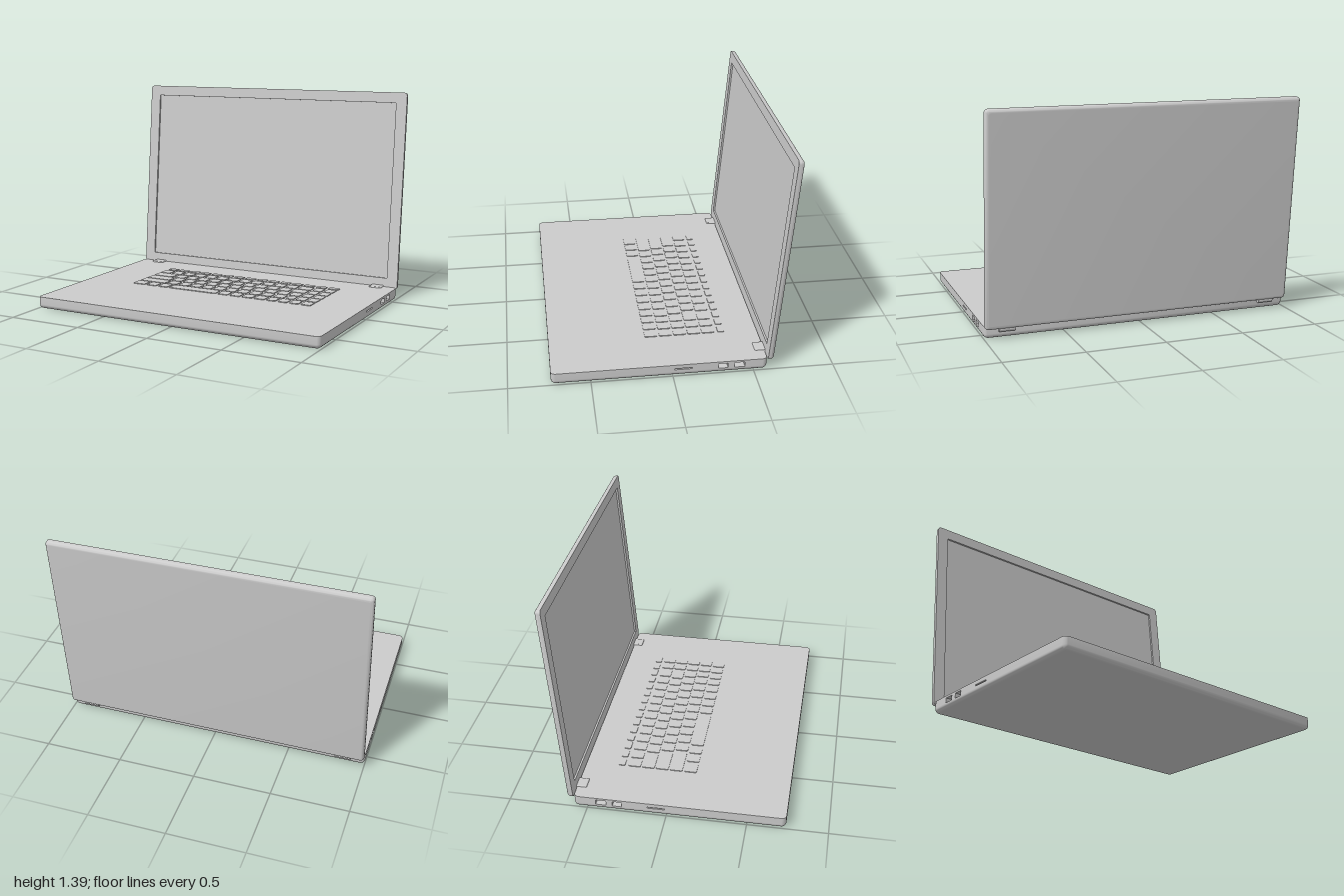
import * as THREE from 'three';
import { mergeGeometries, toCreasedNormals } from 'three/addons/utils/BufferGeometryUtils.js';
import { RoundedBoxGeometry } from 'three/addons/geometries/RoundedBoxGeometry.js';

const material = new THREE.MeshStandardMaterial({ color: 0xcccccc });
const CORNER_STEPS = 5;
const RIM_STEPS = 6;

function addMesh(parent, name, geometry) {
  const mesh = new THREE.Mesh(geometry, material);
  mesh.name = name;
  parent.add(mesh);
  return mesh;
}

// Counter-clockwise outline of a rounded rectangle, starting on the +x side
function roundedRect(w, h, r) {
  const points = [];
  [[1, 1], [-1, 1], [-1, -1], [1, -1]].forEach(([sx, sy], corner) => {
    for (let i = 0; i <= CORNER_STEPS; i++) {
      const a = (corner + i / CORNER_STEPS) * Math.PI / 2;
      points.push(new THREE.Vector2(sx * (w / 2 - r) + r * Math.cos(a), sy * (h / 2 - r) + r * Math.sin(a)));
    }
  });
  return points;
}

// Flat panel around z = 0 with rectangular openings { x, y, w, h }
function panel(outline, openings = []) {
  const shape = new THREE.Shape(outline);
  for (const o of openings) {
    const hole = roundedRect(o.w, o.h, o.r).map(p => p.add(new THREE.Vector2(o.x, o.y)));
    shape.holes.push(new THREE.Path(hole));
  }
  return new THREE.ShapeGeometry(shape);
}

// Inward-facing box without its front, lining an opening
function pocket({ x, y, w, h }, depth) {
  const geo = new THREE.BoxGeometry(w, h, depth);
  const index = Array.from(geo.index.array);
  index.splice(24, 6);
  geo.setIndex(index.reverse());
  return geo.translate(x, y, -depth / 2);
}

function join(parts) {
  for (const g of parts) {
    g.deleteAttribute('uv');
    g.deleteAttribute('normal');
  }
  return toCreasedNormals(mergeGeometries(parts), 0.6);
}

// Shell with a sharp front face at z = 0 and a rounded rim at z = -depth
function shell({ w, h, depth, rim, corner, openings = [], openingDepth = 0, ports }) {
  const levels = [[0, 0]];
  for (let i = 0; i <= RIM_STEPS; i++) {
    const a = i / RIM_STEPS * Math.PI / 2;
    levels.push([rim * (1 - Math.cos(a)), -(depth - rim) - rim * Math.sin(a)]);
  }
  const rings = levels.map(([inset]) =>
    roundedRect(w - 2 * inset, h - 2 * inset, Math.max(0.01, corner - inset)));
  const n = rings[0].length;
  const positions = [], index = [];
  rings.forEach((ring, i) => ring.forEach(p => positions.push(p.x, p.y, levels[i][1])));
  for (let i = 0; i < rings.length - 1; i++) {
    for (let j = 0; j < n; j++) {
      // the straight sides are left open where port panels go
      if (ports && i === 0 && (j === n - 1 || j === n / 2 - 1)) continue;
      const a = i * n + j, b = i * n + (j + 1) % n;
      index.push(a, a + n, b, b, a + n, b + n);
    }
  }
  const wall = new THREE.BufferGeometry();
  wall.setAttribute('position', new THREE.Float32BufferAttribute(positions, 3));
  wall.setIndex(index);

  const back = panel(rings[rings.length - 1]).rotateY(Math.PI).translate(0, 0, -depth);
  const parts = [wall, back, panel(rings[0], openings)];
  for (const o of openings) parts.push(pocket(o, openingDepth));

  // side panels pierced by ports
  if (ports) {
    const half = h / 2 - corner, low = rim - depth;
    const outline = [[-half, low], [half, low], [half, 0], [-half, 0]].map(p => new THREE.Vector2(...p));
    for (const side of [1, -1]) {
      const holes = ports.map(p => ({ ...p, x: p.x * side }));
      const place = new THREE.Matrix4().makeBasis(
        new THREE.Vector3(0, side, 0), new THREE.Vector3(0, 0, 1), new THREE.Vector3(side, 0, 0));
      place.setPosition(side * w / 2, 0, 0);
      for (const g of [panel(outline, holes), ...holes.map(p => pocket(p, 0.05))]) parts.push(g.applyMatrix4(place));
    }
  }
  return join(parts);
}

const BASE_TOP = 0.078;
const BASE_Z = 0.078;

function makeBase() {
  // ports given by their z range and height range
  const ports = [[-0.12, -0.01, 0.045, 0.053], [-0.34, -0.28, 0.033, 0.065], [-0.445, -0.38, 0.033, 0.065]]
    .map(([z0, z1, y0, y1]) => ({
      x: BASE_Z - (z0 + z1) / 2, y: (y0 + y1) / 2 - BASE_TOP, w: z1 - z0, h: y1 - y0, r: 0.002,
    }));
  return shell({ w: 2, h: 1.326, depth: BASE_TOP, rim: 0.03, corner: 0.03, ports })
    .rotateX(-Math.PI / 2).translate(0, BASE_TOP, BASE_Z);
}

// Rows of keys: back edge, depth and key widths in key units
const ones = n => Array(n).fill(1);
const KEY_ROWS = [
  [-0.377, 0.042, ones(15)],
  [-0.313, 0.08, [...ones(12), 1.2, 0.9, 0.9]],
  [-0.222, 0.08, [1.85, ...ones(10), 1.35, 0.9, 0.9]],
  [-0.131, 0.08, [2.2, ...ones(11), 0.9, 0.9]],
  [-0.04, 0.08, [2.4, ...ones(10), 0.8, 0.9, 0.9]],
  [0.053, 0.08, [1.2, 1, 1, 4.15, ...ones(4), 0.9, 0.9, 0.9, 0.95]],
];

function makeKeyboard() {
  const keyboard = new THREE.Group();
  keyboard.name = 'keyboard';
  const unit = 0.0895, gap = 0.018;
  for (const [z, depth, widths] of KEY_ROWS) {
    let x = -0.65;
    for (const units of widths) {
      const w = units * unit - gap;
      const geo = new THREE.ExtrudeGeometry(new THREE.Shape(roundedRect(w, depth, 0.01)),
        { depth: 0.01, bevelEnabled: false });
      geo.rotateX(-Math.PI / 2);
      addMesh(keyboard, 'key', geo).position.set(x + w / 2, BASE_TOP - 0.005, z + depth / 2);
      x += units * unit;
    }
  }
  return keyboard;
}

function makeLid() {
  const h = 1.329;
  const screen = { x: 0, y: 0, w: 1.85, h: h - 0.14, r: 0.001 };
  const lid = new THREE.Group();
  lid.name = 'lid';
  addMesh(lid, 'screenHousing', shell({
    w: 2, h, depth: 0.038, rim: 0.022, corner: 0.022, openings: [screen], openingDepth: 0.012,
  }).translate(0, h / 2, 0));
  lid.position.set(0, 0.066, -0.588);
  lid.rotation.x = -THREE.MathUtils.degToRad(5);
  return lid;
}

// Clip on the deck plus a barrel running under the lid
function makeHinge(side) {
  const hinge = new THREE.Group();
  hinge.name = side > 0 ? 'leftHinge' : 'rightHinge';
  addMesh(hinge, 'hingeClip', new RoundedBoxGeometry(0.085, 0.03, 0.075, 3, 0.008))
    .position.set(0, 0.071, -0.563);
  const barrel = addMesh(hinge, 'hingeBarrel', new THREE.CylinderGeometry(0.018, 0.018, 0.1, 20));
  barrel.rotation.z = Math.PI / 2;
  barrel.position.set(0, 0.06, -0.596);
  hinge.position.x = side * 0.862;
  return hinge;
}

export function createModel() {
  const laptop = new THREE.Group();
  laptop.name = 'laptop';
  addMesh(laptop, 'base', makeBase());
  laptop.add(makeKeyboard(), makeLid(), makeHinge(1), makeHinge(-1));
  return laptop;
}
